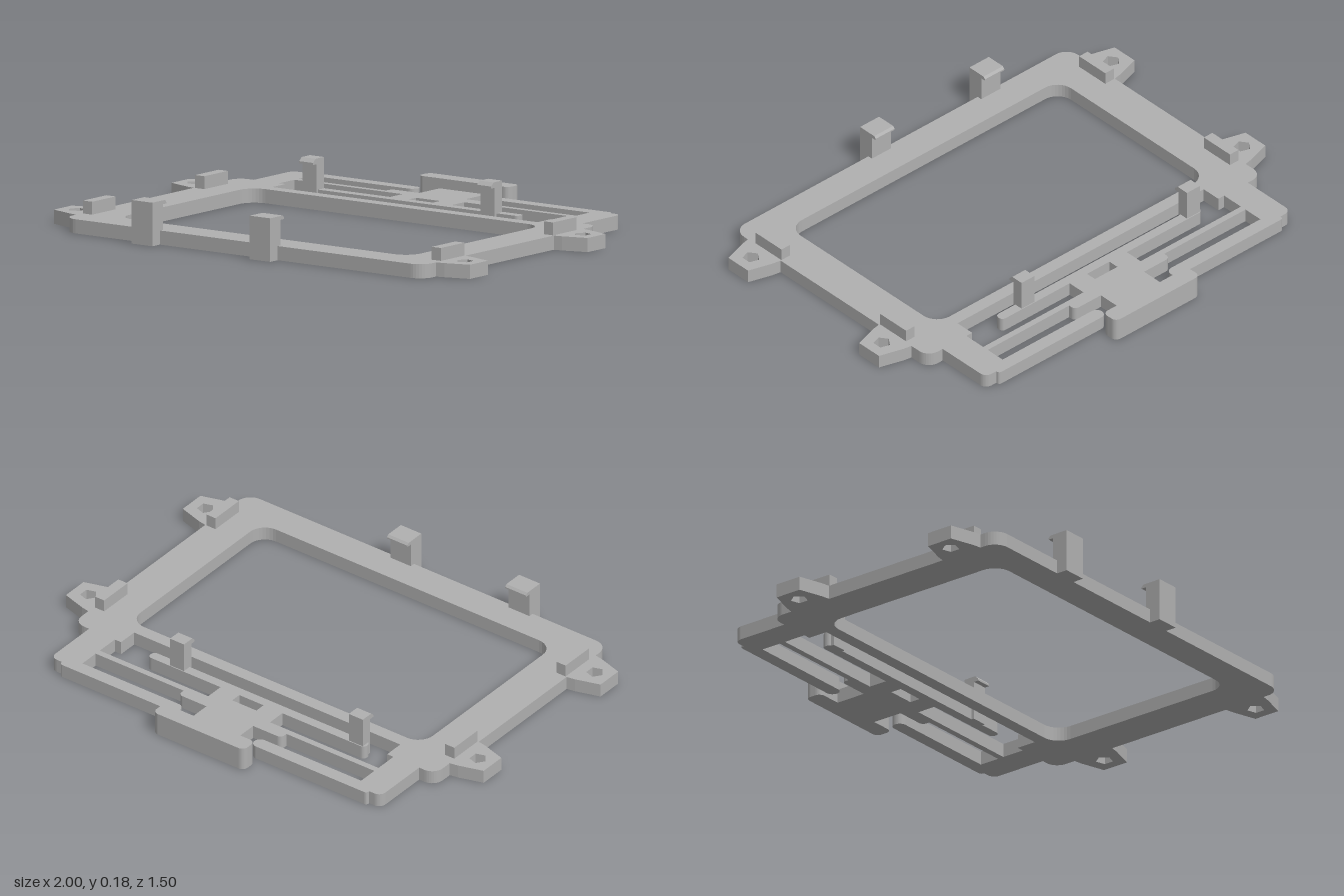
import * as THREE from 'three';

const THICK = 0.055;

// Trace corners [x, z, radius] in plan, rounding those that have a radius
function trace(path, pts) {
  const v = pts.map(([x, z]) => new THREE.Vector2(x, -z));
  v.forEach((p, i) => {
    const r = pts[i][2] || 0;
    const prev = v[(i + v.length - 1) % v.length], next = v[(i + 1) % v.length];
    const a = p.clone().add(prev.clone().sub(p).setLength(r));
    const b = p.clone().add(next.clone().sub(p).setLength(r));
    if (i === 0) path.moveTo(a.x, a.y); else path.lineTo(a.x, a.y);
    if (r) path.bezierCurveTo(
      a.x + (p.x - a.x) * 0.55, a.y + (p.y - a.y) * 0.55,
      b.x + (p.x - b.x) * 0.55, b.y + (p.y - b.y) * 0.55, b.x, b.y);
  });
  path.closePath();
  return path;
}

// Complete a right-half outline with its mirror image
const mirrored = half => [...half, ...half.map(([x, z, r]) => [-x, z, r]).reverse()];
const rect = (x0, x1, z0, z1, r) => [[x0, z0, r], [x1, z0, r], [x1, z1, r], [x0, z1, r]];

// Extrude a plan outline upward from y = 0
function slab(pts, height, holes = []) {
  const shape = trace(new THREE.Shape(), pts);
  holes.forEach(h => shape.holes.push(trace(new THREE.Path(), h)));
  const geo = new THREE.ExtrudeGeometry(shape, { depth: height, bevelEnabled: false, curveSegments: 8 });
  return geo.rotateX(-Math.PI / 2);
}

// Extrude a [z, y] side profile from x0 to x1
function sideProfile(pts, x0, x1) {
  const shape = new THREE.Shape(pts.map(([z, y]) => new THREE.Vector2(z, y)));
  const geo = new THREE.ExtrudeGeometry(shape, { depth: x1 - x0, bevelEnabled: false });
  return geo.rotateY(-Math.PI / 2).translate(x1, 0, 0);
}

export function createModel() {
  const group = new THREE.Group();
  const grey = new THREE.MeshStandardMaterial({ color: 0xb0b0b0 });
  grey.name = 'grey plastic';
  const add = (name, geo) => {
    const mesh = new THREE.Mesh(geo, grey);
    mesh.name = name;
    group.add(mesh);
  };

  // Main frame with rear arms and the split rear rail
  add('frame', slab(mirrored([
    [0.865, 0.705, 0.06], [0.865, -0.398, 0.05], [0.79, -0.398], [0.79, -0.642, 0.03],
    [0.735, -0.642], [0.735, -0.658, 0.012], [0.178, -0.658, 0.027], [0.178, -0.603, 0.027],
    [0.667, -0.603], [0.667, -0.398], [0.637, -0.398], [0.637, -0.315],
  ]), THICK, [rect(-0.7, 0.7, -0.262, 0.575, 0.07)]));

  // Flexible latch: crossbar, stepped centre and notch
  add('latch', slab(mirrored([
    [0.112, -0.69], [0.112, -0.552], [0.246, -0.552, 0.02], [0.246, -0.519],
    [0.667, -0.519], [0.667, -0.493], [0.148, -0.493], [0.148, -0.415],
    [0.058, -0.415], [0.058, -0.46],
  ]), THICK));
  add('latchBar', slab(rect(-0.54, 0.497, -0.415, -0.375, 0.018), THICK));
  add('latchHandle', slab(rect(-0.218, 0.218, -0.753, -0.68, 0.025), 0.094));

  // Hooks on the latch bar
  for (const [x0, x1] of [[-0.53, -0.463], [0.326, 0.393]]) {
    add('rearHook', sideProfile([
      [-0.411, 0], [-0.364, 0], [-0.364, 0.155], [-0.343, 0.155],
      [-0.343, 0.163], [-0.358, 0.177], [-0.411, 0.177],
    ], x0, x1));
  }

  // Hooks on the front edge
  for (const [x0, x1] of [[-0.5, -0.4], [0.068, 0.166]]) {
    add('frontHook', sideProfile([
      [0.752, 0], [0.752, 0.169], [0.672, 0.169], [0.664, 0.16],
      [0.664, 0.154], [0.685, 0.154], [0.685, 0],
    ], x0, x1));
  }

  // Mounting ears with five-sided holes, each with a raised rib beside it
  for (const side of [-1, 1]) {
    for (const [z, ribZ] of [[-0.211, -0.194], [0.53, 0.512]]) {
      const hole = Array.from({ length: 5 }, (_, i) => {
        const a = i * Math.PI * 0.4;
        return [side * 0.932 - 0.034 * Math.cos(a), z + 0.034 * Math.sin(a)];
      });
      const out = [[0.85, -0.095], [0.9, -0.086], [1, -0.056], [1, 0.056], [0.9, 0.086], [0.85, 0.095]];
      add('mountingEar', slab(out.map(([x, dz]) => [side * x, z + dz]), THICK, [hole]));
      const rib = new THREE.BoxGeometry(0.044, 0.105, 0.148);
      add('rib', rib.translate(side * 0.838, 0.0525, ribZ));
    }
  }

  return group;
}
